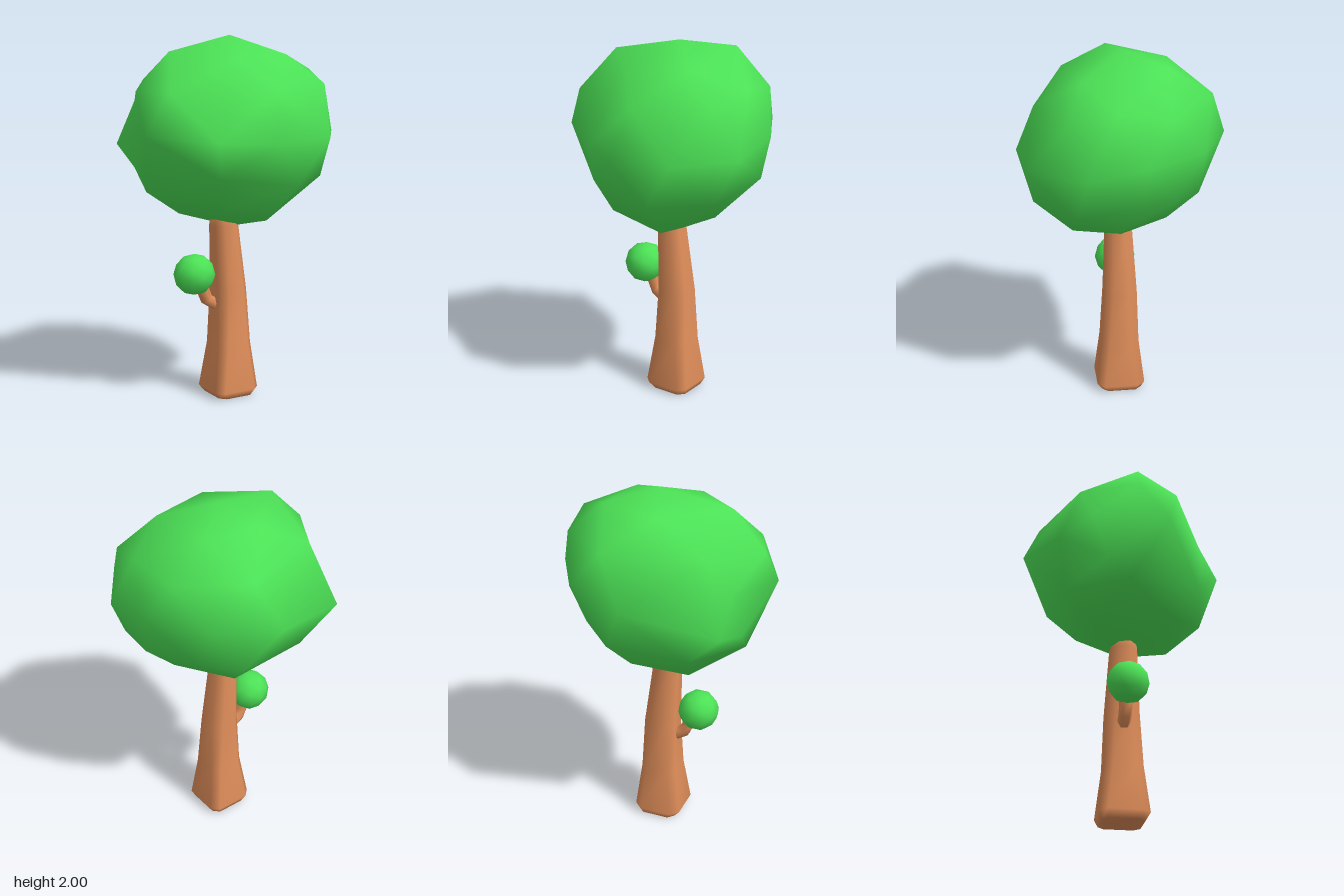
import * as THREE from 'three';
import { mergeVertices } from 'three/addons/utils/BufferGeometryUtils.js';
import { ConvexGeometry } from 'three/addons/geometries/ConvexGeometry.js';

const leaf = new THREE.MeshStandardMaterial({ color: 0x4ce256 });
const bark = new THREE.MeshStandardMaterial({ color: 0xe08e5a });

// Weld shared corners so the low-poly shapes shade smoothly
function smooth(geometry) {
  geometry.deleteAttribute('normal');
  geometry.deleteAttribute('uv');
  const g = mergeVertices(geometry, 1e-4);
  g.computeVertexNormals();
  return g;
}

// Lumpy ball: connect the corners as seen from the centre, then move each to its true distance
function lumpyBall(corners, centre) {
  const offsets = corners.map((c) => new THREE.Vector3(...c).sub(centre));
  const dirs = offsets.map((o) => o.clone().normalize());
  const g = new ConvexGeometry(dirs);
  const p = g.attributes.position;
  const v = new THREE.Vector3();
  for (let i = 0; i < p.count; i++) {
    v.fromBufferAttribute(p, i);
    let best = 0;
    dirs.forEach((d, j) => { if (d.dot(v) > dirs[best].dot(v)) best = j; });
    v.copy(offsets[best]).add(centre);
    p.setXYZ(i, v.x, v.y, v.z);
  }
  return smooth(g);
}

// Eight-sided trunk from rings: [y, x centre, z centre, half width, half depth, squareness]
function loft(rings) {
  const pos = [], index = [], n = 8;
  for (const [y, cx, cz, w, d, k] of rings) {
    const outline = [[1, -k], [1, k], [k, 1], [-k, 1], [-1, k], [-1, -k], [-k, -1], [k, -1]];
    for (const [a, b] of outline) pos.push(cx + a * w, y, cz + b * d);
  }
  for (let r = 0; r < rings.length - 1; r++) {
    for (let i = 0; i < n; i++) {
      const a = r * n + i, b = r * n + (i + 1) % n;
      index.push(a, a + n, b, b, a + n, b + n);
    }
  }
  const top = (rings.length - 1) * n;
  for (let i = 1; i < n - 1; i++) {
    index.push(0, i, i + 1);
    index.push(top, top + i + 1, top + i);
  }
  const g = new THREE.BufferGeometry();
  g.setAttribute('position', new THREE.Float32BufferAttribute(pos, 3));
  g.setIndex(index);
  g.computeVertexNormals();
  return g;
}

export function createModel() {
  const model = new THREE.Group();
  model.name = 'tree';
  const add = (name, geometry, material) => {
    const mesh = new THREE.Mesh(geometry, material);
    mesh.name = name;
    model.add(mesh);
    return mesh;
  };

  // Trunk with a flared, bevelled foot
  add('trunk', loft([
    [0, 0.032, 0.005, 0.108, 0.113, 0.7],
    [0.04, 0.026, 0.009, 0.135, 0.135, 0.7],
    [0.3, 0.029, 0.01, 0.103, 0.105, 0.6],
    [0.6, 0.027, 0.006, 0.091, 0.092, 0.5],
    [0.97, -0.002, 0.01, 0.073, 0.073, 0.45],
    [1.08, -0.01, 0.01, 0.06, 0.06, 0.45],
  ]), bark);

  // Crooked side branch
  const path = new THREE.CatmullRomCurve3([
    new THREE.Vector3(-0.01, 0.51, 0.005),
    new THREE.Vector3(-0.075, 0.535, 0.005),
    new THREE.Vector3(-0.115, 0.565, 0.005),
    new THREE.Vector3(-0.14, 0.66, 0.005),
  ]);
  add('branch', new THREE.TubeGeometry(path, 4, 0.036, 6), bark);

  // Small leaf ball on the branch
  const ball = add('smallLeafBall', smooth(new THREE.IcosahedronGeometry(0.115, 1)), leaf);
  ball.position.set(-0.187, 0.707, 0.008);

  // Crown, from the top down
  add('crown', lumpyBall([
    [0.04, 2, 0],
    [0.26, 1.96, -0.21], [-0.35, 1.92, 0.04], [-0.09, 1.885, 0.3],
    [0.26, 1.9, 0.22], [-0.04, 1.93, -0.25],
    [0.51, 1.81, 0.07], [0.17, 1.79, -0.46], [-0.34, 1.76, -0.28],
    [-0.535, 1.72, 0.02], [-0.45, 1.72, 0.235], [0.06, 1.72, 0.46],
    [0.45, 1.74, 0.31], [0.47, 1.77, -0.21],
    [0.04, 1.53, -0.555], [0.38, 1.55, -0.395], [0.56, 1.54, -0.08],
    [0.56, 1.48, 0.225], [0.345, 1.48, 0.52], [0, 1.46, 0.555],
    [-0.26, 1.47, 0.41], [-0.565, 1.5, 0.175], [-0.44, 1.56, -0.22],
    [-0.45, 1.4, -0.4],
    [0.53, 1.32, -0.04], [0.45, 1.24, 0.28], [0.17, 1.23, 0.48],
    [-0.24, 1.28, 0.39], [-0.46, 1.18, -0.02], [-0.47, 1.3, -0.14],
    [0.36, 1.28, -0.25], [0.18, 1.24, -0.4], [-0.25, 1.2, -0.34],
    [0.3, 1.08, 0.04], [0.11, 1.07, -0.24], [-0.2, 1.09, 0.28],
    [0.11, 1.02, 0.27], [-0.19, 1.02, -0.16],
    [0.05, 0.955, 0],
  ], new THREE.Vector3(0, 1.48, 0)), leaf);

  return model;
}
